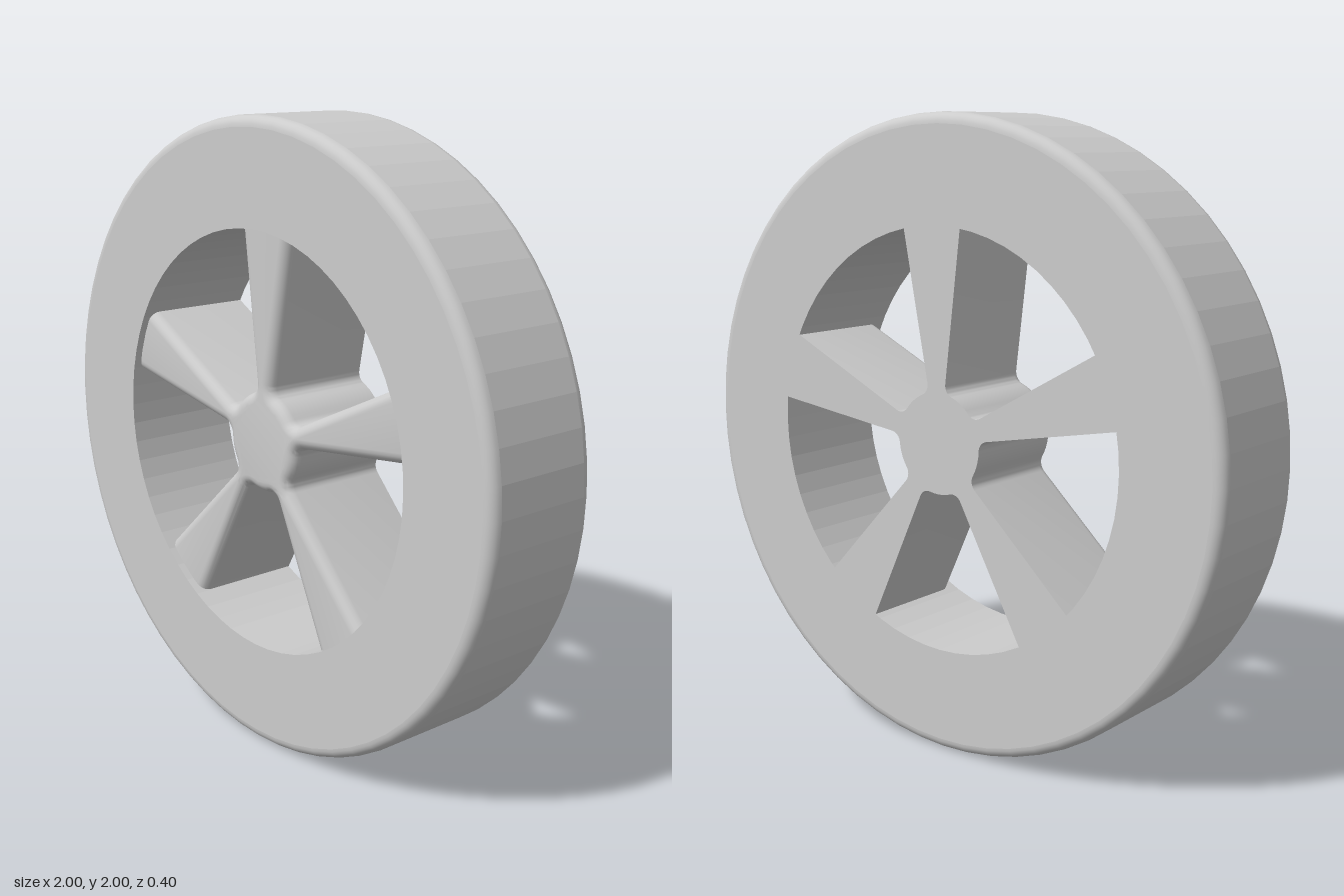
import * as THREE from 'three';
import { toCreasedNormals } from 'three/addons/utils/BufferGeometryUtils.js';

const SEGMENTS = 64, RIM = 1, INNER = 0.666, HALF = 0.2, ROUND = 0.035;
const smooth = new THREE.MeshStandardMaterial({ color: 0xcccccc });
const faceted = new THREE.MeshStandardMaterial({ color: 0xcccccc, flatShading: true });

// Ring turned around the z axis from [radius, z] points
function ring(name, points, material) {
  const profile = points.map(([r, z]) => new THREE.Vector2(r, z));
  const mesh = new THREE.Mesh(new THREE.LatheGeometry(profile, SEGMENTS).rotateX(Math.PI / 2), material);
  mesh.name = name;
  return mesh;
}

// Outline of hub and five flared spokes, moved inwards by d
function spiderOutline(d) {
  const slope = 0.16, base = 0.006, hub = 0.16, fillet = 0.035, reach = 0.7;
  const s = Math.hypot(1, slope);
  // fillet centre: tangent to the spoke side and to the hub
  const k = base + fillet * s, q = hub + fillet;
  const uc = (-slope * k + Math.sqrt(slope * slope * q * q + q * q - k * k)) / (s * s);
  const vc = k + slope * uc;
  const a0 = Math.atan2(-1, slope), a1 = Math.atan2(vc, uc) - Math.PI;
  const half = [[reach, base + slope * reach - d * s]];
  for (let i = 0; i <= 7; i++) {
    const a = a0 + (a1 - a0) * i / 7;
    half.push([uc + (fillet + d) * Math.cos(a), vc + (fillet + d) * Math.sin(a)]);
  }
  const start = Math.atan2(vc, uc), end = Math.PI / 5;
  for (let i = 1; i <= 2; i++) {
    const a = start + (end - start) * i / 2.5;
    half.push([(hub - d) * Math.cos(a), (hub - d) * Math.sin(a)]);
  }
  const spoke = [...half.map(([u, v]) => [u, -v]).reverse(), ...half];
  const outline = [];
  for (let n = 0; n < 5; n++) {
    const a = THREE.MathUtils.degToRad(88 + 72 * n);
    for (const [u, v] of spoke) {
      outline.push(new THREE.Vector2(u * Math.cos(a) - v * Math.sin(a), u * Math.sin(a) + v * Math.cos(a)));
    }
  }
  return outline;
}

// Hub and spokes: flat back, rounded front edges, front slightly recessed
function spiderGeometry() {
  const front = HALF - 0.025, steps = 5;
  const layers = [[0, -HALF]];
  for (let i = 0; i <= steps; i++) {
    const a = Math.PI / 2 * i / steps;
    layers.push([ROUND * (1 - Math.cos(a)), front - ROUND * (1 - Math.sin(a))]);
  }
  const loops = layers.map(([d]) => spiderOutline(d));
  const count = loops[0].length, positions = [], index = [];
  loops.forEach((loop, j) => loop.forEach(p => positions.push(p.x, p.y, layers[j][1])));
  for (let j = 0; j < layers.length - 1; j++) {
    for (let i = 0; i < count; i++) {
      const a = j * count + i, b = j * count + (i + 1) % count;
      index.push(a, b, b + count, a, b + count, a + count);
    }
  }
  // caps
  const last = (layers.length - 1) * count;
  for (const [a, b, c] of THREE.ShapeUtils.triangulateShape(loops[0], [])) index.push(a, c, b);
  for (const [a, b, c] of THREE.ShapeUtils.triangulateShape(loops[loops.length - 1], [])) {
    index.push(last + a, last + b, last + c);
  }
  const geometry = new THREE.BufferGeometry();
  geometry.setAttribute('position', new THREE.Float32BufferAttribute(positions, 3));
  geometry.setIndex(index);
  return toCreasedNormals(geometry, 0.6);
}

export function createModel() {
  const wheel = new THREE.Group();
  wheel.name = 'wheel';
  const edge = HALF - ROUND, shoulder = RIM - ROUND;

  // Rim: faceted tread and inner wall, smooth rounded shoulders, flat sides
  wheel.add(ring('tread', [[RIM, -edge], [RIM, edge]], faceted));
  wheel.add(ring('innerWall', [[INNER, HALF], [INNER, -HALF]], faceted));
  wheel.add(ring('frontSide', [[shoulder, HALF], [INNER, HALF]], smooth));
  wheel.add(ring('backSide', [[INNER, -HALF], [shoulder, -HALF]], smooth));
  const arc = [];
  for (let i = 0; i <= 6; i++) {
    const a = Math.PI / 2 * i / 6;
    arc.push([shoulder + ROUND * Math.cos(a), edge + ROUND * Math.sin(a)]);
  }
  wheel.add(ring('frontShoulder', arc, smooth));
  wheel.add(ring('backShoulder', arc.map(([r, z]) => [r, -z]).reverse(), smooth));

  // Hub with spokes
  const spider = new THREE.Mesh(spiderGeometry(), smooth);
  spider.name = 'hubAndSpokes';
  wheel.add(spider);

  wheel.position.y = RIM;
  const model = new THREE.Group();
  model.name = 'spokedWheel';
  model.add(wheel);
  return model;
}
